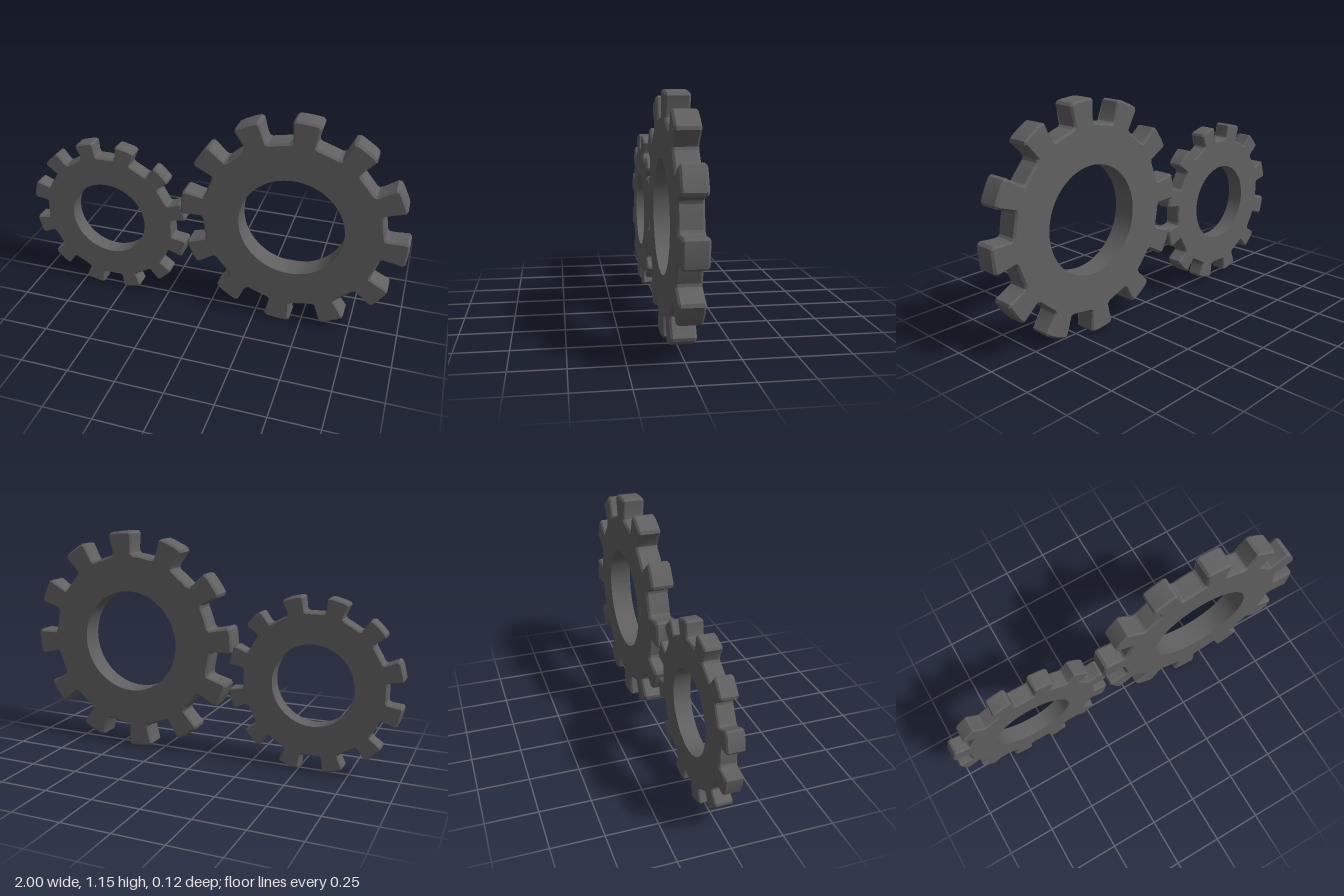
import * as THREE from 'three';
import { toCreasedNormals } from 'three/addons/utils/BufferGeometryUtils.js';

const TEETH = 12;

// Outer outline, counter-clockwise: one tooth profile mirrored and repeated
function gearOutline(R, root, phase) {
  const half = [ // [angle from tooth centre, radius]
    [0.05, R], [0.1, R * 0.998], [0.122, R * 0.978],
    [0.114, root + R * 0.04], [0.122, root + R * 0.013], [0.148, root], [0.205, root * 0.997],
  ];
  const tooth = [...half.map(([a, r]) => [-a, r]).reverse(), ...half];
  const points = [];
  for (let i = 0; i < TEETH; i++) {
    for (const [a, r] of tooth) {
      const t = phase + (i * Math.PI * 2) / TEETH + a;
      points.push(new THREE.Vector2(r * Math.cos(t), r * Math.sin(t)));
    }
  }
  return points;
}

// Move every corner inward by d along its mitre
function inset(points, d) {
  const n = points.length;
  return points.map((p, i) => {
    const a = p.clone().sub(points[(i + n - 1) % n]).normalize();
    const b = points[(i + 1) % n].clone().sub(p).normalize();
    const mitre = new THREE.Vector2(-a.y - b.y, a.x + b.x);
    return p.clone().addScaledVector(mitre, (2 * d) / Math.max(mitre.lengthSq(), 1) / 1);
  });
}

// Closed loft: front face, chamfer, rim, chamfer, back face, bore
function gearGeometry({ R, root, bore, depth, chamfer, phase }) {
  const outline = gearOutline(R, root, phase);
  const n = outline.length;
  const start = phase - Math.PI / TEETH + Math.PI / n;
  const hole = outline.map((_, i) => {
    const t = start + (i * Math.PI * 2) / n;
    return new THREE.Vector2(bore * Math.cos(t), bore * Math.sin(t));
  });
  const small = inset(outline, chamfer);
  const h = depth / 2;
  const rings = [
    [hole, h], [small, h], [outline, h - chamfer],
    [outline, chamfer - h], [small, -h], [hole, -h],
  ];
  const pos = [];
  const index = [];
  rings.forEach(([pts, z], k) => {
    const next = (k + 1) % rings.length;
    pts.forEach((p, i) => {
      pos.push(p.x, p.y, z);
      const j = (i + 1) % n;
      const a = k * n + i, b = next * n + i, c = next * n + j, d = k * n + j;
      index.push(a, b, c, a, c, d);
    });
  });
  const geo = new THREE.BufferGeometry();
  geo.setAttribute('position', new THREE.Float32BufferAttribute(pos, 3));
  geo.setIndex(index);
  return toCreasedNormals(geo, 0.45);
}

export function createModel() {
  const group = new THREE.Group();
  const material = new THREE.MeshStandardMaterial({ color: 0x606060 });
  const addGear = (name, x, y, spec) => {
    const gear = new THREE.Mesh(gearGeometry(spec), material);
    gear.name = name;
    gear.position.set(x, y, 0);
    group.add(gear);
  };
  addGear('largeGear', 0.423, 0.577, {
    R: 0.575, root: 0.458, bore: 0.266, depth: 0.116, chamfer: 0.01, phase: -0.087,
  });
  addGear('smallGear', -0.565, 0.443, {
    R: 0.439, root: 0.359, bore: 0.205, depth: 0.086, chamfer: 0.007, phase: Math.PI / 12,
  });
  return group;
}
